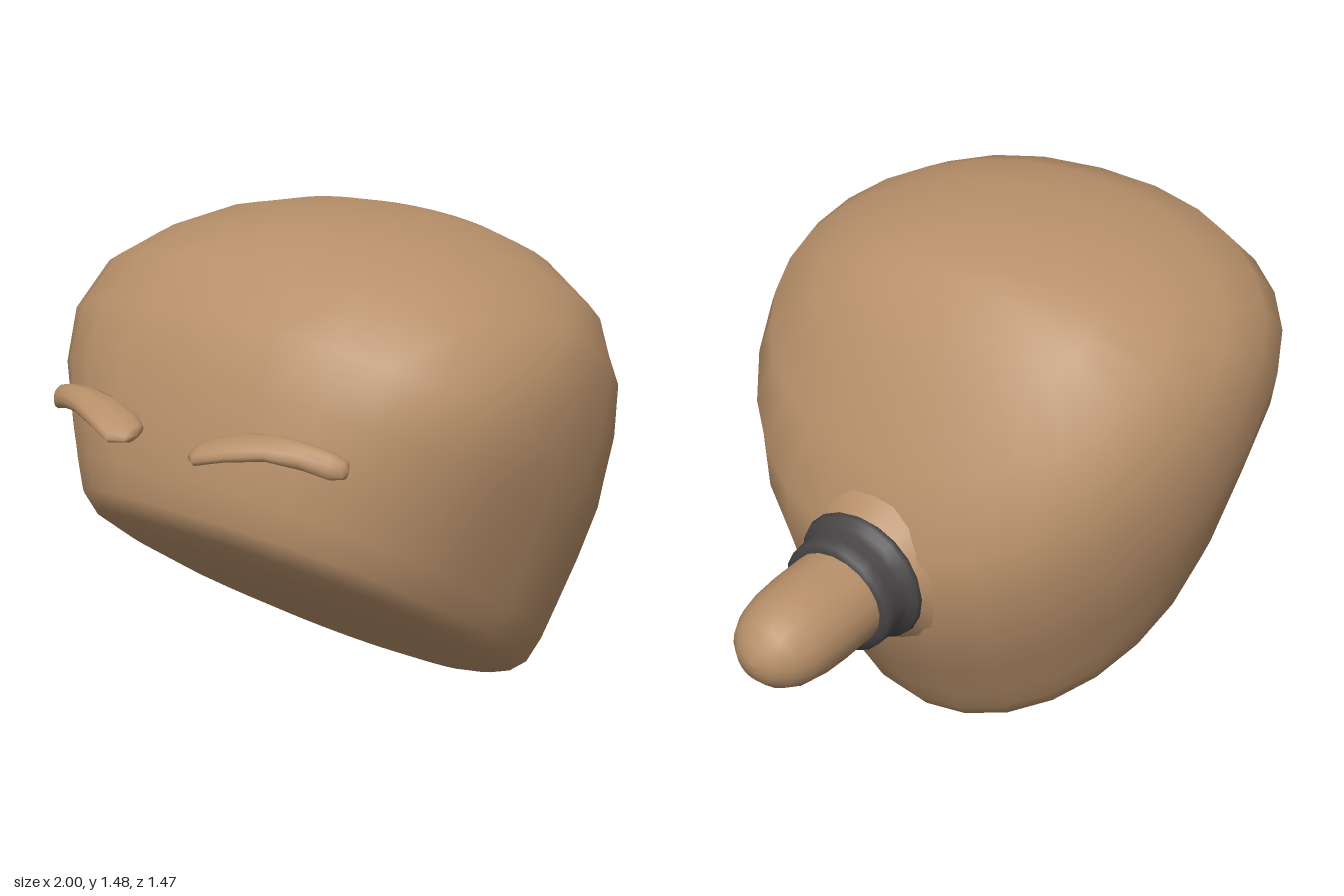
import * as THREE from 'three';
import { mergeVertices } from 'three/addons/utils/BufferGeometryUtils.js';

const tan = new THREE.MeshStandardMaterial({ color: 0xb8906a });
tan.name = 'tan skin';
const dark = new THREE.MeshStandardMaterial({ color: 0x484545 });
dark.name = 'dark band';

// Skin a surface over closed rings; point(i, angle) gives each corner.
function loft(rings, sides, point) {
  const pos = [], index = [];
  for (let i = 0; i < rings; i++) {
    for (let j = 0; j < sides; j++) pos.push(...point(i, (j / sides) * Math.PI * 2));
  }
  for (let i = 0; i < rings - 1; i++) {
    for (let j = 0; j < sides; j++) {
      const k = (j + 1) % sides;
      const a = i * sides + j, b = i * sides + k, c = a + sides, d = b + sides;
      index.push(a, b, d, a, d, c);
    }
  }
  let geo = new THREE.BufferGeometry();
  geo.setAttribute('position', new THREE.Float32BufferAttribute(pos, 3));
  geo.setIndex(index);
  geo = mergeVertices(geo, 1e-4);
  geo.computeVertexNormals();
  return geo;
}

// Rounded power of a sine or cosine, for squarish ovals.
const spow = (v, p) => Math.sign(v) * Math.pow(Math.abs(v), p);

// Domed body, stacked up from its flat underside:
// [height, blunt end, widest place, spout end, half width]
const DOME = [
  [0.06, -0.40, -0.40, -0.40, 0],
  [0.063, -0.62, -0.38, -0.12, 0.22],
  [0.074, -0.85, -0.42, 0.03, 0.38],
  [0.092, -1.06, -0.47, 0.11, 0.475],
  [0.115, -1.19, -0.51, 0.164, 0.535],
  [0.155, -1.242, -0.525, 0.196, 0.577],
  [0.23, -1.283, -0.56, 0.202, 0.61],
  [0.32, -1.325, -0.61, 0.188, 0.642],
  [0.47, -1.372, -0.71, 0.173, 0.695],
  [0.616, -1.388, -0.78, 0.150, 0.733],
  [0.774, -1.353, -0.80, 0.100, 0.733],
  [0.916, -1.245, -0.75, 0.01, 0.695],
  [1.047, -1.092, -0.67, -0.18, 0.60],
  [1.148, -0.92, -0.66, -0.395, 0.43],
  [1.192, -0.81, -0.67, -0.525, 0.27],
  [1.21, -0.75, -0.69, -0.63, 0.13],
  [1.214, -0.69, -0.69, -0.69, 0],
];

function makeBody() {
  const geo = loft(DOME.length, 28, (i, a) => {
    const [h, blunt, mid, front, width] = DOME[i];
    const s = Math.sin(a), c = Math.cos(a);
    // squarer towards the blunt end, easing to an oval near the crown
    const n = s < 0 ? THREE.MathUtils.clamp(2.7 - (h - 0.5) * 1.75, 2, 2.7) : 2;
    const reach = s < 0 ? mid - blunt : front - mid;
    return [mid + spow(s, 2 / n) * reach, h, width * spow(c, 2 / n)];
  });
  return new THREE.Mesh(geo, tan);
}

// Turned part lying along x, from [radius, x] pairs.
function turned(points, material) {
  const geo = new THREE.LatheGeometry(points.map(([r, x]) => new THREE.Vector2(r, x)), 20);
  geo.rotateZ(-Math.PI / 2);
  return new THREE.Mesh(geo, material);
}

// Tab sections: [z, centre x, centre y, half width, half thickness]
const TAB = [
  [0.098, -0.935, 1.012, 0, 0],
  [0.105, -0.938, 1.014, 0.035, 0.016],
  [0.14, -0.94, 1.022, 0.06, 0.024],
  [0.22, -0.919, 1.042, 0.058, 0.025],
  [0.31, -0.898, 1.052, 0.044, 0.026],
  [0.39, -0.876, 1.042, 0.032, 0.03],
  [0.45, -0.85, 1.022, 0.026, 0.031],
  [0.475, -0.836, 1.015, 0.016, 0.022],
  [0.483, -0.832, 1.012, 0, 0],
];

function makeTab(side) {
  const geo = loft(TAB.length, 12, (i, a) => {
    const [z, x, y, w, t] = TAB[i];
    const u = Math.cos(a), v = Math.sin(a * side);
    // outer edge droops, giving the tab its gentle wave
    return [x + w * u, y + t * v + 0.2 * w * u, z * side];
  });
  return new THREE.Mesh(geo, tan);
}

export function createModel() {
  const model = new THREE.Group();
  model.name = 'model';
  const add = (mesh, name) => {
    mesh.name = name;
    model.add(mesh);
    return mesh;
  };

  // The dome leans over towards the spout
  const body = add(makeBody(), 'body');
  body.rotation.z = -Math.atan2(0.57, 0.82);

  // Short flare where the body runs into the collar
  const flare = add(turned([
    [0.25, 0.455], [0.208, 0.495], [0.178, 0.53], [0.15, 0.57],
  ], tan), 'neckFlare');
  flare.position.y = 0.662;

  // Rounded spout
  const spout = add(turned([
    [0.145, 0.52], [0.143, 0.66], [0.143, 0.76], [0.138, 0.84], [0.126, 0.90],
    [0.10, 0.95], [0.06, 0.984], [0.025, 0.996], [0, 0.999],
  ], tan), 'spout');
  spout.position.y = 0.66;
  spout.scale.y = 0.95;

  // Flared collar, tipped slightly
  const collar = add(turned([
    [0.15, -0.075], [0.185, -0.07], [0.197, -0.058], [0.192, -0.045], [0.176, -0.03],
    [0.169, -0.01], [0.168, 0.02], [0.166, 0.057], [0.135, 0.057],
  ], dark), 'collar');
  collar.position.set(0.593, 0.659, 0);
  collar.rotation.z = -0.05;

  // Pair of tabs on the blunt end
  add(makeTab(1), 'frontTab');
  add(makeTab(-1), 'backTab');

  return model;
}
